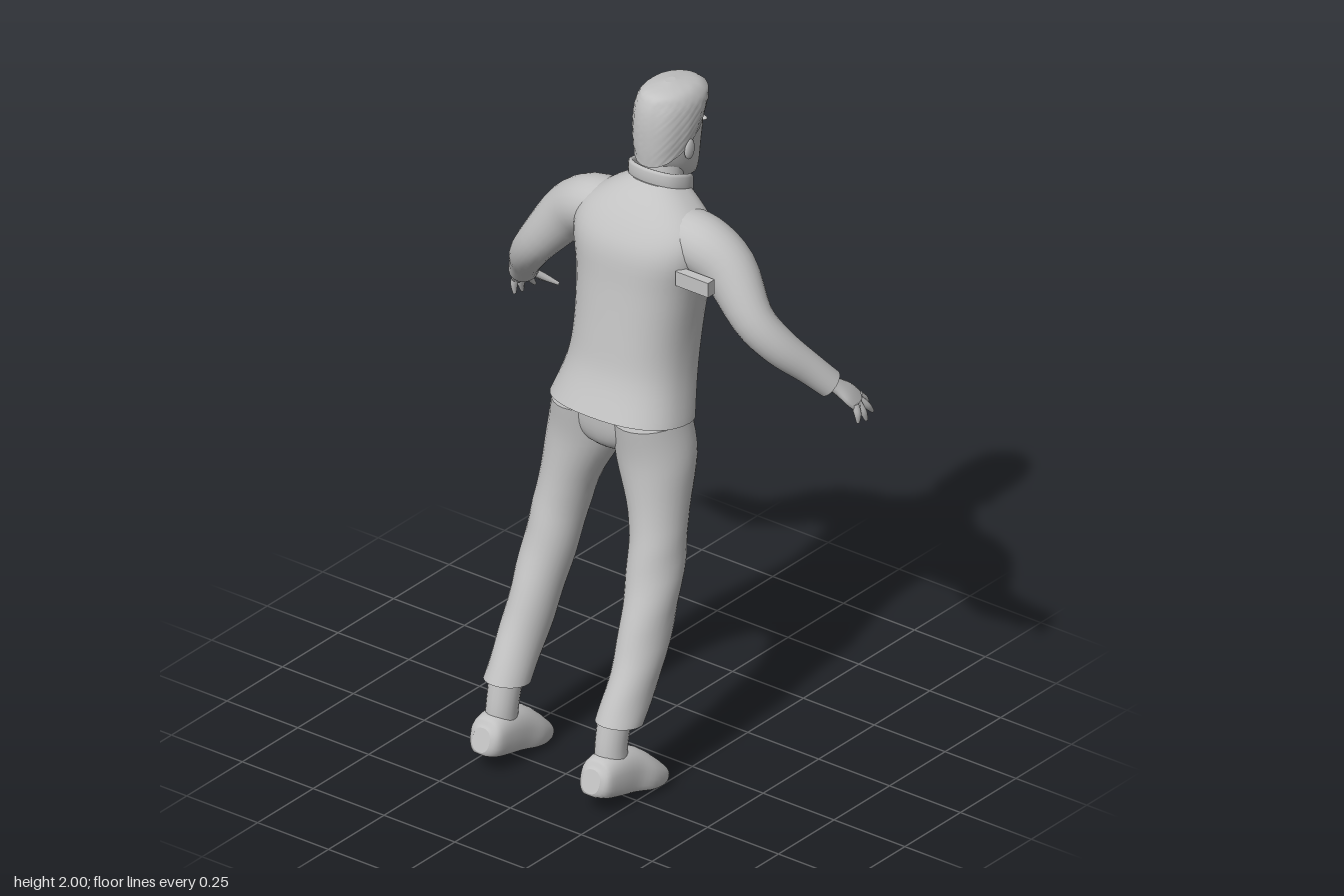
import * as THREE from 'three';

const clothGrey = new THREE.MeshStandardMaterial({ color: 0xc2c2c2 });
clothGrey.name = 'plainGrey';

// Catmull-Rom blend of whole cross-section rows
function blend(rows, i, t) {
  const at = k => rows[Math.min(rows.length - 1, Math.max(0, k))];
  const [a, b, c, d] = [at(i - 1), at(i), at(i + 1), at(i + 2)];
  return b.map((_, k) => 0.5 * (2 * b[k] + (c[k] - a[k]) * t
    + (2 * a[k] - 5 * b[k] + 4 * c[k] - d[k]) * t * t
    + (3 * b[k] - a[k] - 3 * c[k] + d[k]) * t * t * t));
}

// Loft through rows [x, y, z, radiusU, radiusV, slope].
// Without ref the rings lie level (sheared by slope); with ref they stand square to the path.
function loft(rows, { n = 28, steps = 4, exp = 2, ref = null, shape = null } = {}) {
  const secs = [];
  for (let i = 0; i < rows.length - 1; i++)
    for (let s = 0; s < steps; s++) secs.push(blend(rows, i, s / steps));
  secs.push(rows[rows.length - 1]);
  const centre = secs.map(s => new THREE.Vector3(s[0], s[1], s[2]));
  const pos = [], index = [], last = secs.length - 1;
  secs.forEach((s, i) => {
    let U = new THREE.Vector3(1, 0, 0), V = new THREE.Vector3(0, s[5] || 0, 1);
    if (ref) {
      const T = centre[Math.min(last, i + 1)].clone().sub(centre[Math.max(0, i - 1)]).normalize();
      U = new THREE.Vector3(...ref).addScaledVector(T, -T.dot(new THREE.Vector3(...ref))).normalize();
      V = U.clone().cross(T);
    }
    for (let j = 0; j < n; j++) {
      const a = j / n * Math.PI * 2, c = Math.cos(a), d = Math.sin(a);
      const p = centre[i].clone()
        .addScaledVector(U, s[3] * Math.sign(c) * Math.abs(c) ** (2 / exp))
        .addScaledVector(V, s[4] * Math.sign(d) * Math.abs(d) ** (2 / exp));
      if (shape) shape(p, centre[i], a);
      pos.push(p.x, p.y, p.z);
    }
  });
  for (let i = 0; i < last; i++) for (let j = 0; j < n; j++) {
    const a = i * n + j, b = i * n + (j + 1) % n;
    index.push(a, a + n, b, b, a + n, b + n);
  }
  // flat end caps on their own vertices
  for (const i of [0, last]) {
    const base = pos.length / 3;
    for (let j = 0; j < n * 3; j++) pos.push(pos[i * n * 3 + j]);
    pos.push(...centre[i].toArray());
    for (let j = 0; j < n; j++) {
      const a = base + j, b = base + (j + 1) % n;
      if (i) index.push(base + n, b, a); else index.push(base + n, a, b);
    }
  }
  const g = new THREE.BufferGeometry();
  g.setAttribute('position', new THREE.Float32BufferAttribute(pos, 3));
  g.setIndex(index);
  g.computeVertexNormals();
  return g;
}

function mirrored(geo) {
  const g = geo.clone().scale(-1, 1, 1), ix = g.index.array;
  for (let i = 0; i < ix.length; i += 3) [ix[i], ix[i + 1]] = [ix[i + 1], ix[i]];
  g.computeVertexNormals();
  return g;
}

export function createModel() {
  const model = new THREE.Group();
  model.name = 'leaningMan';
  const add = (name, geo) => {
    const m = new THREE.Mesh(geo, clothGrey);
    m.name = name;
    model.add(m);
    return m;
  };
  const pair = (name, geo) => { add(name + 'Left', geo); add(name + 'Right', mirrored(geo)); };
  const ball = (x, y, z, rx, ry, rz) =>
    new THREE.SphereGeometry(1, 16, 12).scale(rx, ry, rz).translate(x, y, z);

  // Jacket body, hem to neckline
  const jacket = [
    [0, 1.065, -0.005, 0.215, 0.155, 0.16], [0, 1.18, -0.05, 0.187, 0.152, 0.1],
    [0, 1.30, -0.078, 0.18, 0.157, 0.03], [0, 1.45, -0.1, 0.193, 0.155, 0],
    [0, 1.56, -0.103, 0.213, 0.142, 0], [0, 1.63, -0.115, 0.2, 0.118, 0],
    [0, 1.685, -0.14, 0.135, 0.088, 0.08], [0, 1.715, -0.16, 0.08, 0.06, 0.15],
  ];
  add('jacketBody', loft(jacket, { n: 40, exp: 2.35 }));
  add('jacketPlacket', loft(jacket.slice(0, 7).map(([x, y, z, , rz, s]) =>
    [x, y - s * rz, z - rz, 0.018, 0.005, 0]), { n: 12, exp: 4, ref: [1, 0, 0] }));

  // Shirt collar wrapped round the neck, points at the front
  const half = [[0.055, 1.672, -0.238], [0.075, 1.70, -0.215], [0.088, 1.722, -0.175], [0.066, 1.737, -0.128]];
  const ring = [...half, [0, 1.742, -0.11], ...half.slice().reverse().map(([x, y, z]) => [-x, y, z])];
  add('collar', loft(ring.map(p => [...p, 0.024, 0.008, 0]), { n: 12, exp: 3, ref: [0, 1, 0] }));

  // Chest pocket and loose sleeve tab
  const pocket = add('chestPocket', new THREE.BoxGeometry(0.085, 0.1, 0.012));
  pocket.position.set(-0.1, 1.46, -0.245);
  pocket.rotation.y = 0.25;
  add('sleeveTab', new THREE.BoxGeometry(0.115, 0.045, 0.03)).position.set(0.24, 1.52, -0.025);

  // Sleeves
  const across = [-0.35, 0, -1];
  pair('sleeve', loft([
    [0.10, 1.60, -0.12, 0.08, 0.075, 0], [0.19, 1.585, -0.122, 0.088, 0.085, 0],
    [0.28, 1.53, -0.128, 0.078, 0.08, 0], [0.375, 1.415, -0.112, 0.058, 0.062, 0],
    [0.44, 1.335, -0.145, 0.054, 0.054, 0], [0.50, 1.26, -0.205, 0.045, 0.045, 0],
    [0.54, 1.205, -0.25, 0.044, 0.04, 0],
  ], { n: 24, ref: across }));

  // Hands
  pair('palm', loft([
    [0.525, 1.225, -0.235, 0.027, 0.021, 0], [0.55, 1.195, -0.265, 0.028, 0.018, 0],
    [0.57, 1.165, -0.293, 0.041, 0.016, 0], [0.586, 1.135, -0.318, 0.04, 0.012, 0],
  ], { n: 16, ref: across }));
  const fingers = [
    [[0.598, 1.142, -0.288], [0.606, 1.085, -0.292]],
    [[0.592, 1.138, -0.308], [0.607, 1.078, -0.328]],
    [[0.583, 1.138, -0.326], [0.596, 1.085, -0.37]],
    [[0.572, 1.142, -0.34], [0.568, 1.10, -0.383]],
    [[0.55, 1.175, -0.295], [0.498, 1.125, -0.352]],
  ];
  fingers.forEach(([a, b], i) => {
    const mid = a.map((v, k) => (v + b[k]) / 2 + (k === 0 ? 0.004 : 0));
    pair(i < 4 ? 'finger' + (i + 1) : 'thumb', loft([[...a, 0.011, 0.011, 0],
      [...mid, 0.0105, 0.0105, 0], [...b, 0.005, 0.005, 0]], { n: 10, ref: across }));
  });

  // Trousers
  add('trouserSeat', loft([
    [0, 0.945, -0.005, 0.03, 0.05, 0], [0, 0.98, -0.005, 0.13, 0.1, 0],
    [0, 1.03, -0.005, 0.195, 0.12, 0], [0, 1.10, -0.01, 0.198, 0.13, 0],
  ], { n: 32 }));
  const folds = (p, c, a) => {
    const k = 1 + 0.02 * Math.sin(p.y * 34 + a * 2) * (p.y < 0.75 ? 1 : 0.2);
    p.x = c.x + (p.x - c.x) * k;
    p.z = c.z + (p.z - c.z) * k;
  };
  pair('trouserLeg', loft([
    [0.198, 0.24, 0.262, 0.064, 0.072, 0.15], [0.196, 0.40, 0.168, 0.066, 0.084, 0.1],
    [0.18, 0.63, 0.078, 0.077, 0.088, 0], [0.158, 0.80, 0.033, 0.083, 0.093, 0],
    [0.122, 0.95, -0.003, 0.112, 0.118, 0], [0.108, 1.07, 0, 0.1, 0.125, 0],
  ], { n: 28, steps: 5, shape: folds }));

  // Ankles and slip-on shoes, soles flattened on a tilted plane
  pair('ankle', loft([
    [0.195, 0.11, 0.295, 0.045, 0.05, 0], [0.192, 0.18, 0.29, 0.045, 0.05, 0],
    [0.192, 0.27, 0.27, 0.048, 0.052, 0],
  ], { n: 20 }));
  const sole = p => { p.y = Math.max(p.y, 0.2 * Math.max(0, p.z - 0.1)); };
  pair('shoe', loft([
    [0.194, 0.10, 0.385, 0.03, 0.035, 0], [0.194, 0.095, 0.365, 0.052, 0.06, 0],
    [0.196, 0.09, 0.31, 0.06, 0.075, 0], [0.198, 0.07, 0.24, 0.064, 0.077, 0],
    [0.202, 0.046, 0.18, 0.072, 0.06, 0], [0.204, 0.026, 0.125, 0.062, 0.034, 0],
    [0.204, 0.016, 0.095, 0.03, 0.015, 0],
  ], { n: 28, exp: 2.4, ref: [1, 0, 0], shape: sole }));

  // Neck and head
  add('neck', loft([[0, 1.66, -0.17, 0.068, 0.06, 0], [0, 1.72, -0.185, 0.06, 0.055, 0],
    [0, 1.80, -0.2, 0.06, 0.06, 0]], { n: 24 }));
  add('head', loft([
    [0, 1.685, -0.272, 0.025, 0.025, 0], [0, 1.705, -0.255, 0.05, 0.053, 0.1],
    [0, 1.745, -0.23, 0.068, 0.083, 0.1], [0, 1.80, -0.218, 0.077, 0.101, 0],
    [0, 1.86, -0.217, 0.082, 0.108, 0], [0, 1.92, -0.216, 0.08, 0.106, 0],
    [0, 1.965, -0.215, 0.058, 0.08, 0], [0, 1.98, -0.215, 0.01, 0.01, 0],
  ], { n: 32 }));

  // Face details
  add('nose', loft([[0, 1.765, -0.322, 0.016, 0.022, 0], [0, 1.785, -0.322, 0.014, 0.019, 0],
    [0, 1.84, -0.318, 0.007, 0.01, 0]], { n: 14 }));
  add('upperLip', ball(0, 1.744, -0.309, 0.024, 0.006, 0.01));
  add('lowerLip', ball(0, 1.731, -0.304, 0.02, 0.006, 0.01));
  pair('brow', ball(0.034, 1.853, -0.311, 0.024, 0.007, 0.012));
  pair('eye', ball(0.033, 1.832, -0.306, 0.014, 0.008, 0.008));
  pair('ear', ball(0.083, 1.815, -0.2, 0.01, 0.032, 0.02));

  // Cropped hair, high at the brow and low at the nape, roughened
  const rough = (p, c) => {
    const k = 1 + 0.018 * Math.sin(p.x * 190 + p.y * 130) * Math.sin(p.z * 170 - p.y * 110);
    p.x = c.x + (p.x - c.x) * k;
    p.z = c.z + (p.z - c.z) * k;
  };
  add('hair', loft([
    [0, 1.838, -0.214, 0.084, 0.108, -0.62], [0, 1.88, -0.216, 0.091, 0.114, -0.45],
    [0, 1.925, -0.222, 0.091, 0.119, -0.22], [0, 1.96, -0.226, 0.083, 0.112, -0.05],
    [0, 1.985, -0.222, 0.06, 0.085, 0], [0, 1.998, -0.22, 0.012, 0.018, 0],
  ], { n: 48, steps: 6, exp: 2.15, shape: rough }));

  return model;
}
